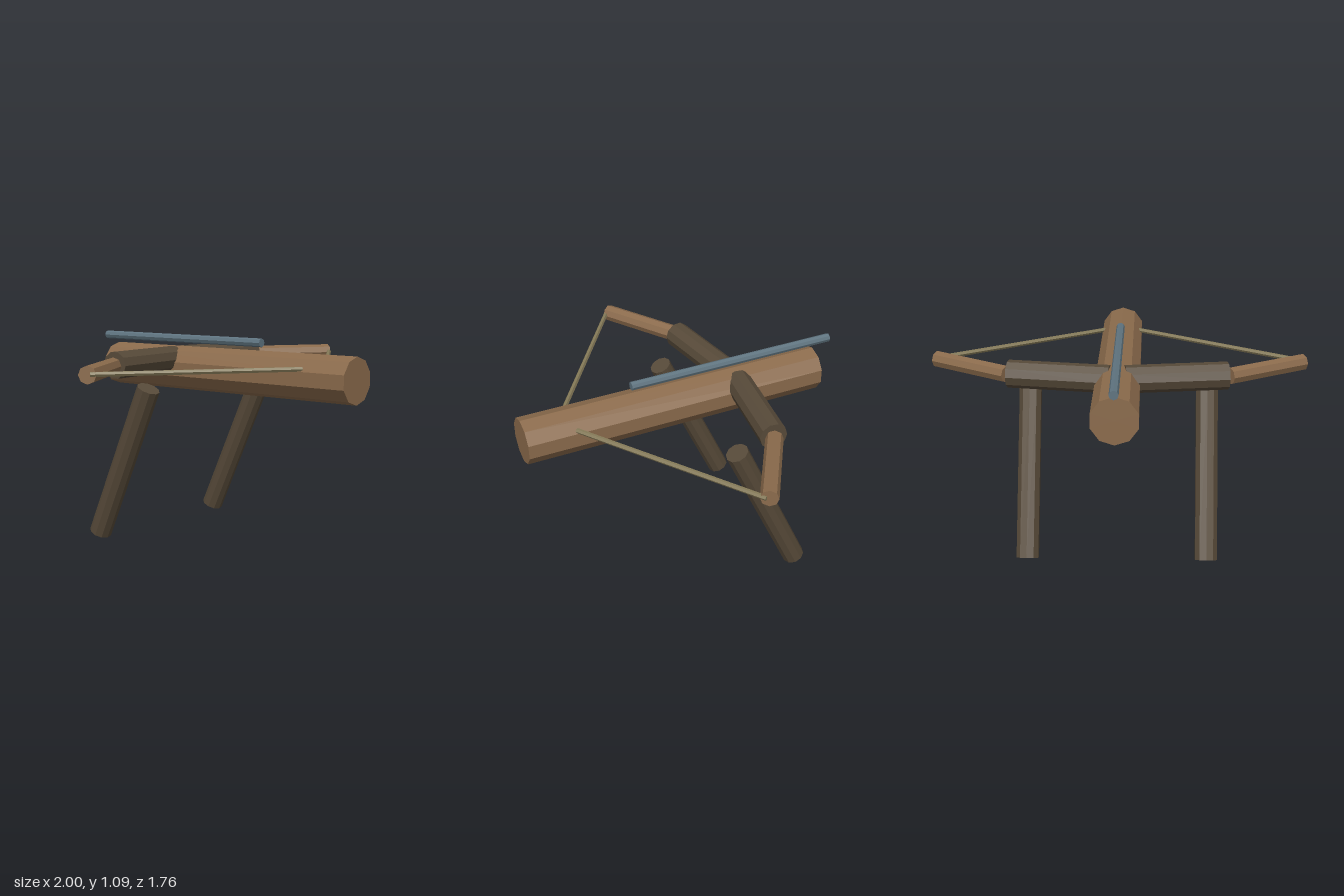
import * as THREE from 'three';

const Y = new THREE.Vector3(0, 1, 0);
const Z = new THREE.Vector3(0, 0, 1);

const material = (color) => new THREE.MeshStandardMaterial({ color, flatShading: true });

// Faceted pole from point a to point b; one ridge of the prism faces `ridge`.
function pole(name, a, b, radius, sides, mat, ridge) {
  const start = new THREE.Vector3(...a);
  const end = new THREE.Vector3(...b);
  const mesh = new THREE.Mesh(
    new THREE.CylinderGeometry(radius, radius, start.distanceTo(end), sides), mat);
  const axis = end.clone().sub(start).normalize();
  const zAxis = ridge.clone().addScaledVector(axis, -ridge.dot(axis)).normalize();
  const xAxis = new THREE.Vector3().crossVectors(axis, zAxis);
  mesh.quaternion.setFromRotationMatrix(new THREE.Matrix4().makeBasis(xAxis, axis, zAxis));
  mesh.position.copy(start).add(end).multiplyScalar(0.5);
  mesh.name = name;
  return mesh;
}

export function createModel() {
  const group = new THREE.Group();
  group.name = 'ballista';

  const wood = material(0x8b6b4c);
  const darkWood = material(0x574a39);
  const steel = material(0x5f7480);
  const cord = material(0x857a58);

  // Main beam and the bolt floating above it
  group.add(pole('stock', [0, 0.91, -0.783], [0, 0.91, 0.88], 0.12, 10, wood, Y));
  group.add(pole('bolt', [0, 1.07, -0.88], [0, 1.07, 0.287], 0.023, 8, steel, Y));

  // Mirrored arms, strings and legs
  for (const [side, s] of [['left', 1], ['right', -1]]) {
    group.add(
      pole(side + 'InnerArm', [s * 0.04, 0.96, -0.308], [s * 0.56, 0.96, -0.232], 0.0715, 10, darkWood, Z),
      pole(side + 'OuterArm', [s * 0.57, 0.957, -0.231], [s * 0.975, 0.957, 0.023], 0.045, 8, wood, Z),
      pole(side + 'String', [s * 0.97, 0.96, 0.036], [s * 0.1, 0.96, 0.622], 0.013, 6, cord, Z),
      pole(side + 'Leg', [s * 0.465, 0.026, -0.465], [s * 0.465, 0.843, -0.083], 0.06, 10, darkWood, Z),
    );
  }
  return group;
}
